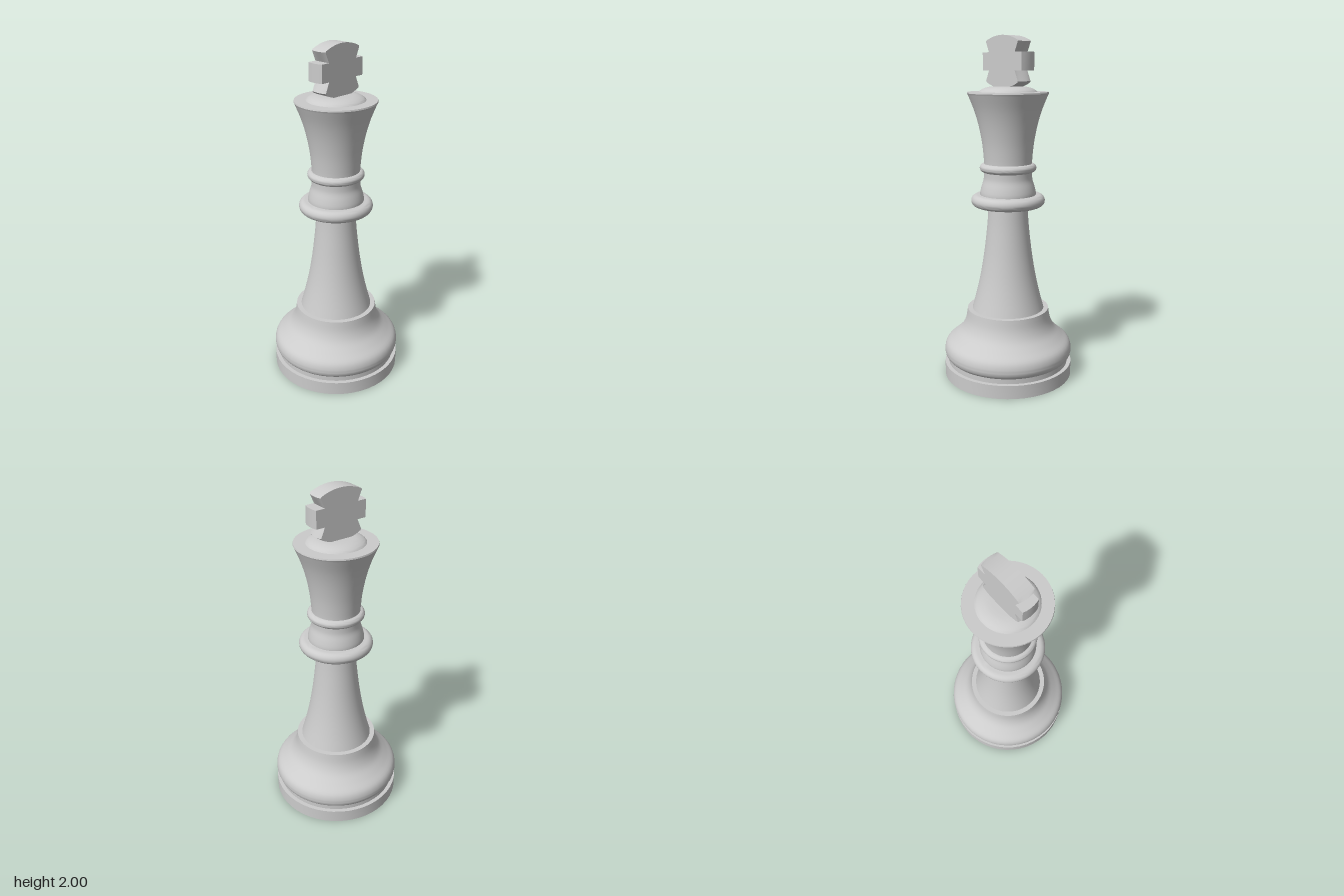
import * as THREE from 'three';
import { toCreasedNormals } from 'three/addons/utils/BufferGeometryUtils.js';

const SEGMENTS = 48;
const material = new THREE.MeshStandardMaterial({ color: 0xcccccc });

export function createModel() {
  const model = new THREE.Group();

  function add(name, geometry) {
    const mesh = new THREE.Mesh(toCreasedNormals(geometry, 0.6), material);
    mesh.name = name;
    model.add(mesh);
  }

  // Solid of revolution: [radius, height] points from bottom to top, capped on the axis
  function turned(name, points, samples = 0) {
    let profile = points.map(([r, y]) => new THREE.Vector2(r, y));
    if (samples) profile = new THREE.SplineCurve(profile).getPoints(samples);
    const first = profile[0], last = profile[profile.length - 1];
    profile = [new THREE.Vector2(0, first.y), ...profile, new THREE.Vector2(0, last.y)];
    add(name, new THREE.LatheGeometry(profile, SEGMENTS));
  }

  // Rounded ring with an elliptical edge
  function ring(name, y, halfHeight, innerRadius, outerRadius) {
    const points = [];
    for (let i = 0; i <= 12; i++) {
      const a = -Math.PI / 2 + (i / 12) * Math.PI;
      points.push([innerRadius + (outerRadius - innerRadius) * Math.cos(a), y + halfHeight * Math.sin(a)]);
    }
    turned(name, points);
  }

  // Foot
  turned('baseDisc', [[0.383, 0], [0.383, 0.08]]);
  turned('baseGroove', [[0.36, 0.075], [0.36, 0.115]]);
  turned('baseBulge', [
    [0.355, 0.105], [0.375, 0.125], [0.383, 0.16], [0.37, 0.205], [0.325, 0.245],
    [0.28, 0.29], [0.254, 0.345], [0.242, 0.412],
  ], 28);

  // Shaft
  turned('stem', [
    [0.217, 0.4], [0.19, 0.5], [0.167, 0.6], [0.149, 0.7], [0.135, 0.8], [0.121, 0.93], [0.114, 1.04],
  ], 20);

  // Collars and neck
  ring('lowerCollar', 1.068, 0.035, 0.18, 0.215);
  turned('neck', [
    [0.162, 1.09], [0.162, 1.115], [0.154, 1.15], [0.143, 1.185], [0.14, 1.21], [0.14, 1.25],
  ], 16);
  ring('upperCollar', 1.259, 0.025, 0.138, 0.164);

  // Flared crown, rim and dome
  turned('crown', [
    [0.138, 1.26], [0.14, 1.31], [0.149, 1.4], [0.168, 1.5], [0.194, 1.59], [0.228, 1.675],
  ], 20);
  turned('crownRim', [[0.228, 1.674], [0.232, 1.682], [0.23, 1.69]]);
  turned('crownDome', [
    [0.167, 1.688], [0.158, 1.698], [0.138, 1.709], [0.11, 1.717], [0.08, 1.72],
  ], 12);

  // Cross: flat plate with flared top and bottom and square arms
  const shape = new THREE.Shape();
  shape.moveTo(-0.137, 1.965);
  shape.quadraticCurveTo(0, 2.035, 0.137, 1.965);
  for (const [x, y] of [
    [0.103, 1.908], [0.163, 1.908], [0.163, 1.808], [0.103, 1.808], [0.137, 1.75],
  ]) shape.lineTo(x, y);
  shape.quadraticCurveTo(0, 1.67, -0.137, 1.75);
  for (const [x, y] of [
    [-0.103, 1.808], [-0.163, 1.808], [-0.163, 1.908], [-0.103, 1.908],
  ]) shape.lineTo(x, y);
  shape.closePath();
  const cross = new THREE.ExtrudeGeometry(shape, {
    depth: 0.1, steps: 6, bevelEnabled: false, curveSegments: 20,
  });
  cross.translate(0, 0, -0.05);

  // Round the outer ends around the vertical axis
  const p = cross.attributes.position;
  for (let i = 0; i < p.count; i++) {
    const x = p.getX(i), z = p.getZ(i);
    if (Math.abs(x) > 0.13) p.setX(i, Math.sign(x) * Math.sqrt(x * x - z * z));
  }
  add('cross', cross);

  return model;
}
